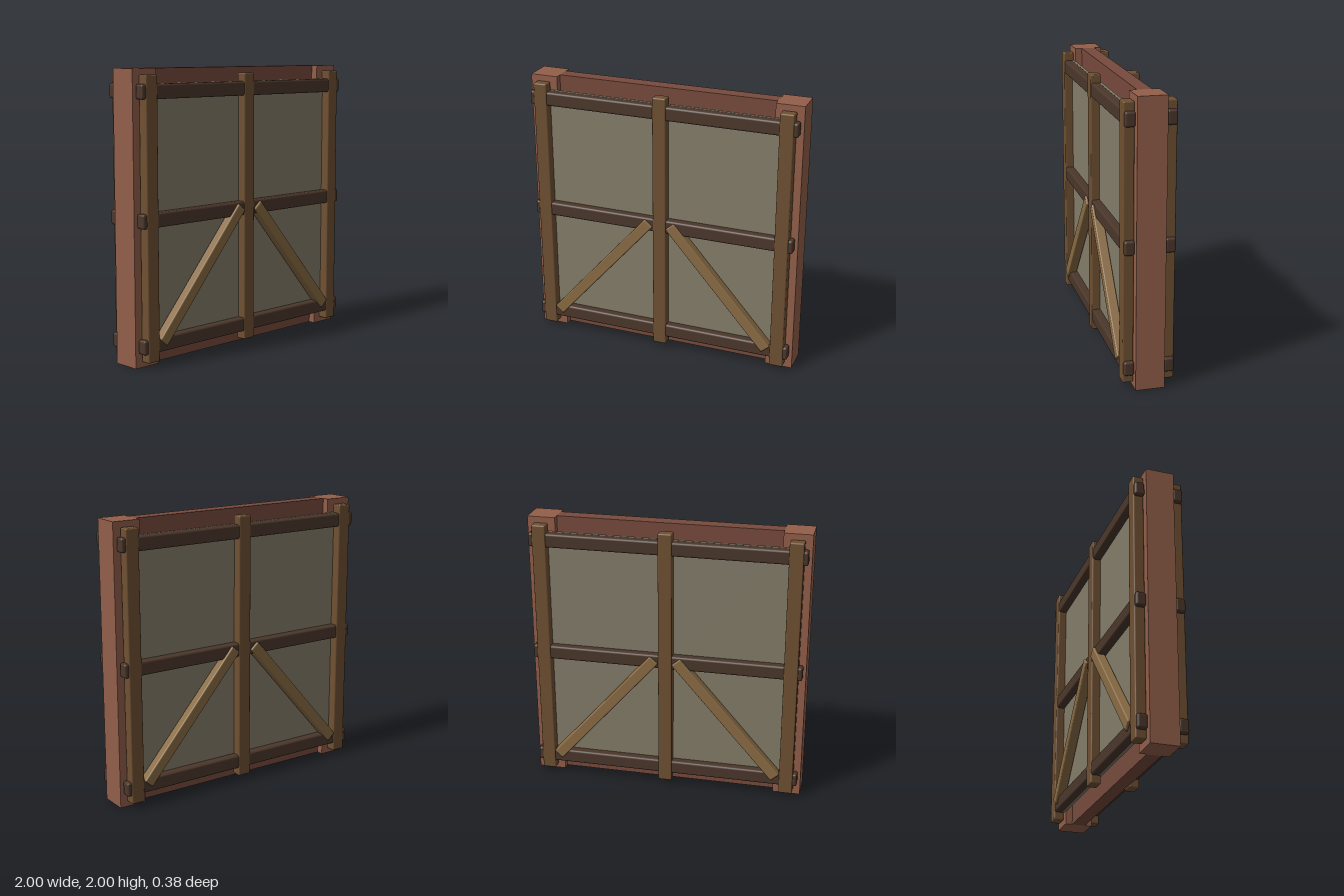
import * as THREE from 'three';
import { RoundedBoxGeometry } from 'three/addons/geometries/RoundedBoxGeometry.js';

const mat = (color) => new THREE.MeshStandardMaterial({ color });

export function createModel() {
  const model = new THREE.Group();
  const post = mat(0x935f4a), wall = mat(0x774a3c), panel = mat(0x847d6a);
  const rail = mat(0x4b372b), stile = mat(0x6f5032), brace = mat(0x8a6c44);

  const add = (parent, name, geometry, material, x, y, z) => {
    const mesh = new THREE.Mesh(geometry, material);
    mesh.name = name;
    mesh.position.set(x, y, z);
    parent.add(mesh);
    return mesh;
  };

  // Core wall between two square posts
  add(model, 'coreWall', new THREE.BoxGeometry(1.6, 2, 0.1), wall, 0, 1, 0);
  for (const s of [-1, 1]) {
    add(model, s > 0 ? 'leftPost' : 'rightPost', new THREE.BoxGeometry(0.2, 2, 0.2), post, s * 0.9, 1, 0);
  }

  // Timber lattice, the same on both faces
  const railGeo = new RoundedBoxGeometry(1.96, 0.1, 0.07, 2, 0.015);
  const stileGeo = new RoundedBoxGeometry(0.1, 1.92, 0.075, 2, 0.01);
  const braceGeo = new RoundedBoxGeometry(1.127, 0.08, 0.07, 2, 0.01);
  const panelGeo = new THREE.BoxGeometry(1.8, 1.8, 0.02);
  for (const side of ['front', 'back']) {
    const face = new THREE.Group();
    face.name = side + 'Lattice';
    if (side === 'back') face.rotation.y = Math.PI;
    model.add(face);

    add(face, 'panel', panelGeo, panel, 0, 1, 0.105);
    for (const y of [0.15, 1, 1.85]) add(face, 'rail', railGeo, rail, 0, y, 0.138);
    for (const x of [-0.9, 0, 0.9]) add(face, 'stile', stileGeo, stile, x, 1, 0.14);

    // Diagonal braces rising towards the middle stile
    for (const s of [-1, 1]) {
      const b = add(face, 'brace', braceGeo, brace, s * 0.45, 0.59, 0.155);
      b.rotation.z = -s * Math.atan2(0.85, 0.74);
    }
  }
  return model;
}
